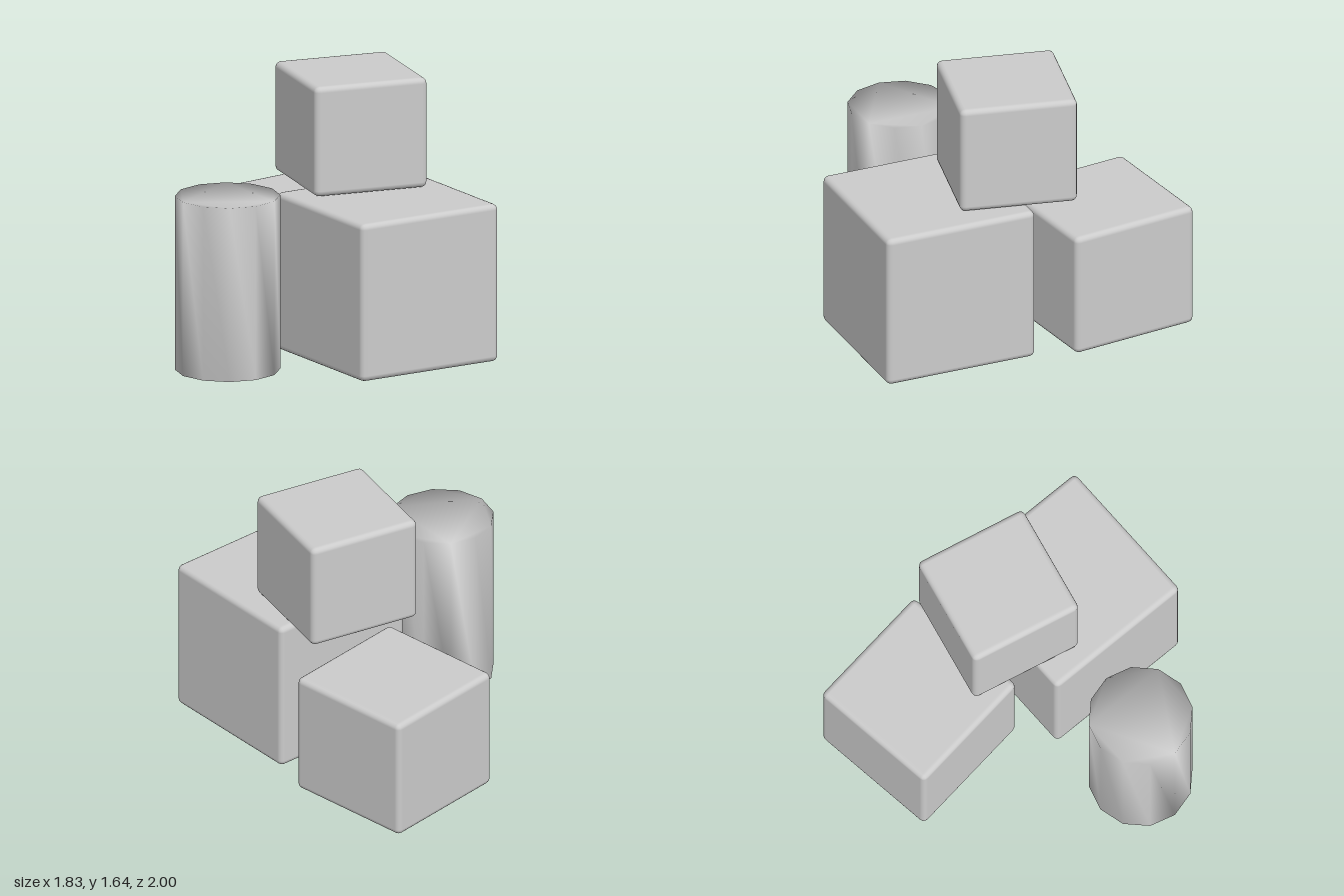
import * as THREE from 'three';
import { RoundedBoxGeometry } from 'three/addons/geometries/RoundedBoxGeometry.js';
import { mergeVertices } from 'three/addons/utils/BufferGeometryUtils.js';

const material = new THREE.MeshStandardMaterial({ color: 0xcccccc });

// A cube-like block with softened edges, standing on height y
function block(name, width, height, x, y, z, turn) {
  const mesh = new THREE.Mesh(new RoundedBoxGeometry(width, height, width, 2, 0.035), material);
  mesh.name = name;
  mesh.position.set(x, y + height / 2, z);
  mesh.rotation.y = THREE.MathUtils.degToRad(turn);
  return mesh;
}

// A twelve-sided column whose normals are shared between side and caps
function column(radius, height, sides) {
  const points = [];
  for (let i = 0; i < sides; i++) {
    const a = (i / sides) * Math.PI * 2;
    points.push(new THREE.Vector2(radius * Math.cos(a), radius * Math.sin(a)));
  }
  let geometry = new THREE.ExtrudeGeometry(new THREE.Shape(points), { depth: height, bevelEnabled: false });
  geometry.rotateX(-Math.PI / 2);
  geometry.deleteAttribute('normal');
  geometry.deleteAttribute('uv');
  geometry = mergeVertices(geometry, 1e-4);
  geometry.computeVertexNormals();
  const mesh = new THREE.Mesh(geometry, material);
  mesh.name = 'column';
  return mesh;
}

export function createModel() {
  const group = new THREE.Group();
  group.name = 'blocks';

  // Three blocks: two on the ground, one resting on top
  group.add(block('frontBlock', 0.96, 0.96, 0.36, 0.005, 0.515, 0));
  group.add(block('backBlock', 0.82, 0.765, 0.457, 0.005, -0.545, 7.5));
  group.add(block('topBlock', 0.71, 0.67, 0.41, 0.97, 0.033, -12));

  // Upright column beside them
  const post = column(0.312, 1.06, 12);
  post.position.set(-0.605, 0, 0.272);
  group.add(post);

  return group;
}
